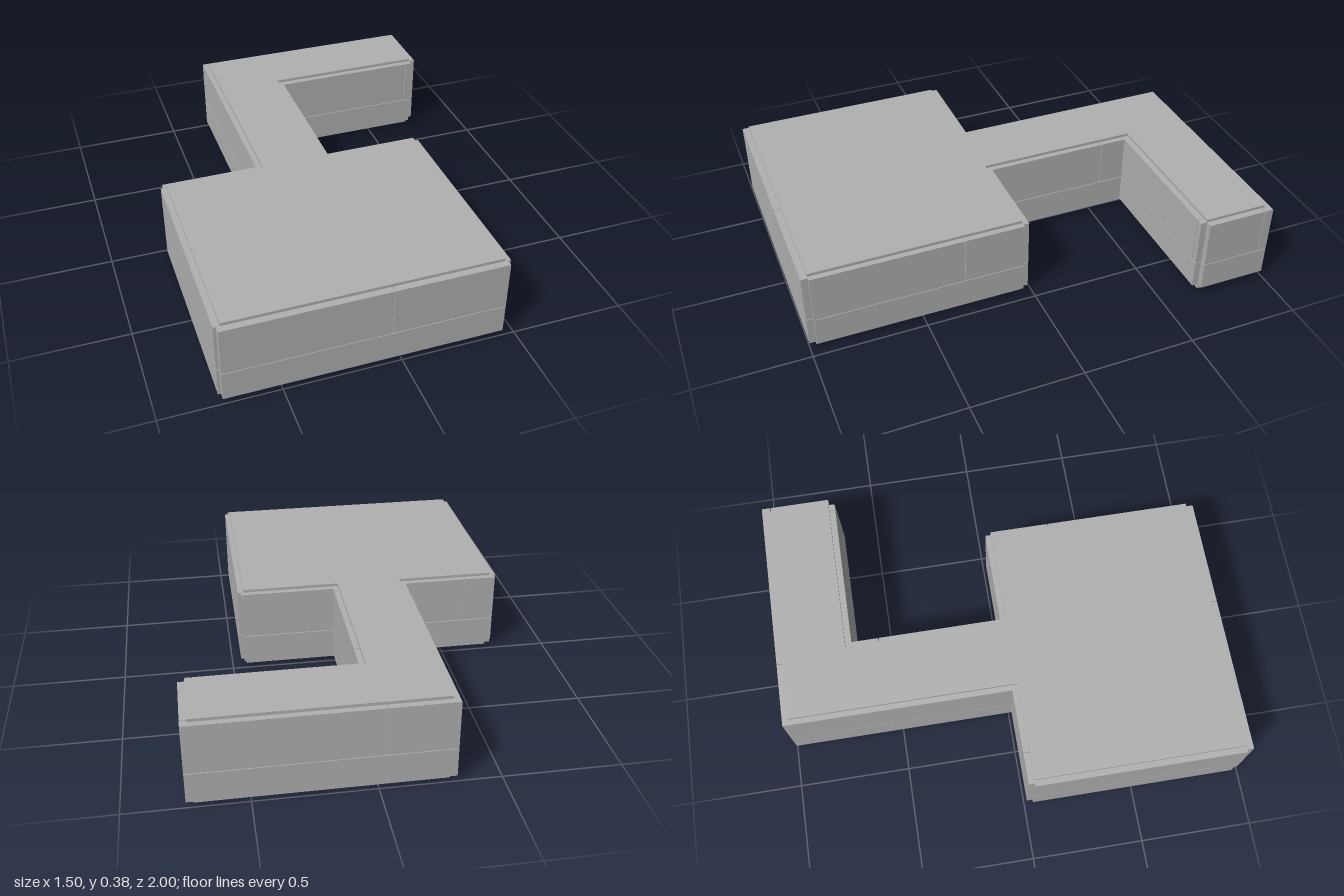
import * as THREE from 'three';

const grey = new THREE.MeshStandardMaterial({ color: 0xb0b0b0 });
grey.name = 'stone grey';

// Plan outline of floor and ceiling as [x, z]
const PLAN = [
  [-0.725, 0.97], [0.435, 0.97], [0.435, 0.04], [0, 0.04], [0, -0.688],
  [0.722, -0.688], [0.722, -0.973], [-0.29, -0.973], [-0.29, 0.04], [-0.725, 0.04],
];
const GAP = 0.003;

// Flat slab following the plan, from y0 to y1
function slab(name, y0, y1) {
  const shape = new THREE.Shape(PLAN.map(([x, z]) => new THREE.Vector2(x, -z)));
  const geo = new THREE.ExtrudeGeometry(shape, { depth: y1 - y0, bevelEnabled: false });
  geo.rotateX(-Math.PI / 2).translate(0, y0, 0);
  const mesh = new THREE.Mesh(geo, grey);
  mesh.name = name;
  return mesh;
}

function block(name, x0, x1, y0, y1, z0, z1) {
  const mesh = new THREE.Mesh(new THREE.BoxGeometry(x1 - x0, y1 - y0, z1 - z0), grey);
  mesh.position.set((x0 + x1) / 2, (y0 + y1) / 2, (z0 + z1) / 2);
  mesh.name = name;
  return mesh;
}

// Wall of one low course and an upper course split at the given joints
function wall(name, x0, x1, z0, z1, joints = []) {
  const group = new THREE.Group();
  group.name = name;
  group.add(block('lowerCourse', x0, x1, 0.026, 0.155, z0, z1));
  const alongX = x1 - x0 > z1 - z0;
  const ends = alongX ? [x0, ...joints, x1] : [z0, ...joints, z1];
  for (let i = 0; i < ends.length - 1; i++) {
    const a = ends[i] + (i > 0 ? GAP / 2 : 0);
    const b = ends[i + 1] - (i < ends.length - 2 ? GAP / 2 : 0);
    group.add(alongX
      ? block('upperPanel', a, b, 0.155 + GAP, 0.372, z0, z1)
      : block('upperPanel', x0, x1, 0.155 + GAP, 0.372, a, b));
  }
  return group;
}

export function createModel() {
  const model = new THREE.Group();
  model.name = 'roomWithCorridor';
  model.add(
    slab('floor', 0, 0.03),
    slab('ceiling', 0.36, 0.385),
    // Room
    wall('roomFrontWall', -0.74, 0.446, 0.97, 1, [-0.045]),
    wall('roomRightWall', -0.752, -0.725, 0.04, 0.97),
    wall('roomLeftWall', 0.435, 0.46, 0.04, 0.97, [0.31]),
    wall('roomBackWallRight', -0.74, -0.315, 0.014, 0.04, [-0.6]),
    wall('roomBackWallLeft', 0.024, 0.446, 0.014, 0.04),
    // Corridor and its side arm
    wall('corridorRightWall', -0.315, -0.29, -0.973, 0.04),
    wall('corridorLeftWall', 0, 0.024, -0.66, 0.04, [-0.54]),
    wall('armFrontWall', 0, 0.722, -0.688, -0.66, [0.692]),
    wall('armBackWall', -0.315, 0.75, -1, -0.973, [-0.03]),
    wall('armEndWall', 0.722, 0.75, -0.973, -0.688, [-0.96]),
  );
  return model;
}
